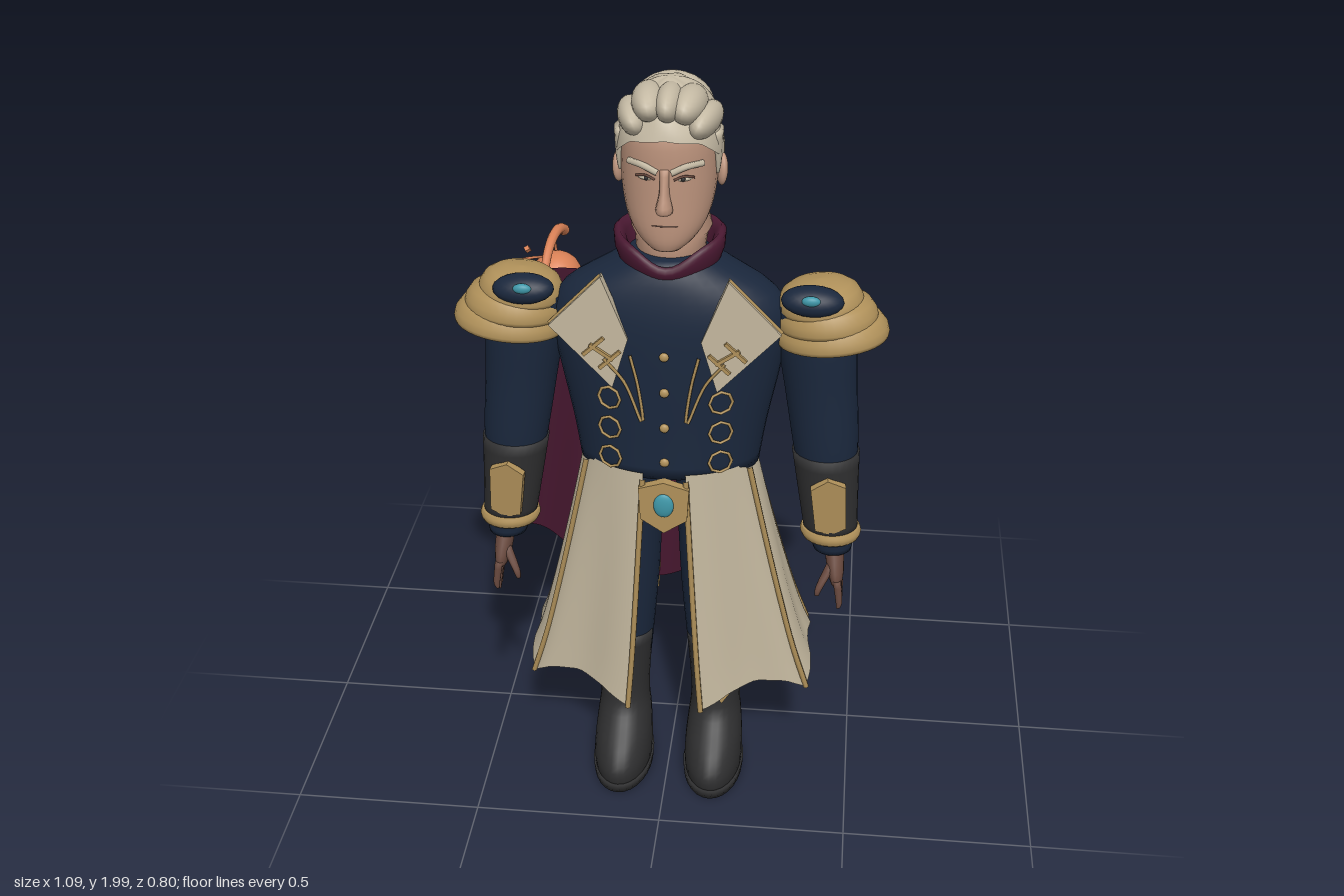
import * as THREE from 'three';
import { mergeVertices } from 'three/addons/utils/BufferGeometryUtils.js';

const mat = (name, color, double) => {
  const m = new THREE.MeshStandardMaterial({ color });
  m.name = name;
  if (double) m.side = THREE.DoubleSide;
  return m;
};
const M = {
  skin: mat('skin', 0xbd947d), hand: mat('brown hand', 0x6a4a3f), hair: mat('pale hair', 0xc6bba5),
  cream: mat('cream cloth', 0xc4b89f, true), navy: mat('navy cloth', 0x1a273c), plum: mat('plum cloth', 0x4b1932, true),
  gold: mat('gold', 0xb0915a), black: mat('black leather', 0x2e2e2f), copper: mat('copper', 0xd98156),
  teal: mat('teal gem', 0x3f97a8),
};
const lerp = THREE.MathUtils.lerp, TAU = Math.PI * 2;
const V = (x, y, z) => new THREE.Vector3(x, y, z);

// smooth surface from fn(u, v)
function grid(fn, nu, nv) {
  const pos = [], idx = [];
  for (let j = 0; j <= nv; j++) for (let i = 0; i <= nu; i++) pos.push(...fn(i / nu, j / nv));
  for (let j = 0; j < nv; j++) for (let i = 0; i < nu; i++) {
    const a = j * (nu + 1) + i, d = a + nu + 1;
    idx.push(a, a + 1, d + 1, a, d + 1, d);
  }
  let g = new THREE.BufferGeometry();
  g.setAttribute('position', new THREE.Float32BufferAttribute(pos, 3));
  g.setIndex(idx);
  g = mergeVertices(g, 1e-5);
  g.computeVertexNormals();
  return g;
}
// linear lookup in rows sorted by their first value
function sample(rows, t) {
  let i = 0;
  while (i < rows.length - 2 && t > rows[i + 1][0]) i++;
  const k = THREE.MathUtils.clamp((t - rows[i][0]) / (rows[i + 1][0] - rows[i][0]), 0, 1);
  return rows[i].map((a, c) => lerp(a, rows[i + 1][c], k));
}
// capped stack of ellipses, rows [y, cx, cz, rx, rz] from bottom to top
function loft(rows, s = 1, n = 28, steps = 3) {
  const last = rows.length - 1, R = [];
  for (let i = 0; i < last; i++) for (let k = 0; k < steps; k++) {
    const t = k / steps, q = [rows[Math.max(i - 1, 0)], rows[i], rows[i + 1], rows[Math.min(i + 2, last)]];
    R.push(rows[i].map((_, c) => {
      const [a, b, d, e] = q.map((r) => r[c]);
      return b + 0.5 * t * (d - a + t * (2 * a - 5 * b + 4 * d - e + t * (3 * (b - d) + e - a)));
    }));
  }
  R.push(rows[last]);
  const cap = (r) => [r[0], r[1], r[2], 0, 0];
  const all = [cap(R[0]), ...R, cap(R[R.length - 1])];
  return grid((u, v) => {
    const [y, cx, cz, rx, rz] = all[Math.round(v * (all.length - 1))], a = (u % 1) * TAU;
    return [s * cx + rx * Math.sin(a), y, cz + rz * Math.cos(a)];
  }, n, all.length - 1);
}
const tube = (pts, r, seg = 16) => new THREE.TubeGeometry(new THREE.CatmullRomCurve3(pts), r < 0.006 ? 24 : seg, r, 6);
function plate(pts, depth, s = 1) {
  const shape = new THREE.Shape(pts.map(([x, y]) => new THREE.Vector2(x * s, y)));
  return new THREE.ExtrudeGeometry(shape, { depth, bevelEnabled: false });
}

// coat skirt surface, a = angle from the front, v = 0 at the hem
const FRONT = 0.24, BACK = 2.96;
const HEM = [[FRONT, 0.27], [0.45, 0.31], [0.7, 0.325], [0.95, 0.31], [1.15, 0.27], [1.4, 0.34], [1.7, 0.375],
  [2.05, 0.35], [2.3, 0.38], [2.6, 0.38], [BACK, 0.33]];
function skirtPoint(a, v, out = 0) {
  const m = Math.abs(a), k = Math.pow(v, 0.85), w = (1 - v) * 0.018 * Math.cos(m * 6.9 - 1.66) + out;
  return [Math.sin(a) * (lerp(0.395, 0.225, k) + w), lerp(sample(HEM, m)[1], 1.0, v),
    lerp(0.12, 0.185, k) + Math.cos(a) * (lerp(m > 1.57 ? 0.24 : 0.225, 0.15, k) + w)];
}
// cape surface, u from its right edge to its left edge, v = 0 at the hem
function capePoint(u, v) {
  const wave = -Math.sin(u * TAU * 2.6 - 0.2) * lerp(0.025, 0.005, v);
  return [lerp(lerp(-0.48, 0.12, u), lerp(-0.33, 0.17, u), v),
    lerp(lerp(0.52, 0.38, Math.min(1, u * 1.6)), 1.415, v), lerp(-0.14, 0.02, v) + wave];
}
const chestZ = (x) => 0.185 + 0.135 * Math.sqrt(1 - (x / 0.27) ** 2) + 0.004;

export function createModel() {
  const root = new THREE.Group();
  const add = (name, geo, m, p = [0, 0, 0], rot = [0, 0, 0], sc = [1, 1, 1]) => {
    const mesh = new THREE.Mesh(geo, m);
    mesh.name = name;
    mesh.position.set(...p); mesh.rotation.set(...rot); mesh.scale.set(...sc);
    root.add(mesh);
    return mesh;
  };
  const ball = (name, m, p, r, rot) => add(name, new THREE.SphereGeometry(1, 20, 14), m, p, rot, r);

  // head, neck and face
  add('head', loft([[1.597, 0, 0.262, 0.035, 0.03], [1.62, 0, 0.24, 0.066, 0.06], [1.66, 0, 0.213, 0.095, 0.09],
    [1.72, 0, 0.188, 0.112, 0.115], [1.8, 0, 0.177, 0.118, 0.126], [1.88, 0, 0.175, 0.115, 0.125],
    [1.94, 0, 0.17, 0.085, 0.095], [1.97, 0, 0.17, 0.03, 0.03]]), M.skin);
  add('neck', loft([[1.5, 0, 0.17, 0.08, 0.08], [1.59, 0, 0.14, 0.09, 0.1], [1.605, 0, 0.13, 0.1, 0.112],
    [1.65, 0, 0.14, 0.088, 0.095], [1.75, 0, 0.15, 0.082, 0.09]], 1, 28, 1), M.skin);
  add('nose', loft([[1.7, 0, 0.305, 0.014, 0.01], [1.712, 0, 0.308, 0.021, 0.03], [1.755, 0, 0.303, 0.012, 0.022],
    [1.81, 0, 0.296, 0.012, 0.012]], 1, 12), M.skin);
  ball('mouthLine', M.hand, [0, 1.667, 0.298], [0.032, 0.0025, 0.006]);
  ball('lowerLip', M.skin, [0, 1.659, 0.29], [0.026, 0.007, 0.012]);
  for (const s of [1, -1]) {
    ball('ear', M.skin, [s * 0.124, 1.765, 0.165], [0.014, 0.04, 0.026], [-0.2, s * 0.3, 0]);
    ball('eye', M.hair, [s * 0.045, 1.785, 0.288], [0.02, 0.006, 0.009], [0, s * 0.35, 0]);
    ball('iris', M.black, [s * 0.043, 1.786, 0.295], [0.006, 0.006, 0.005]);
    add('eyelid', tube([V(s * 0.022, 1.785, 0.301), V(s * 0.045, 1.793, 0.296), V(s * 0.069, 1.787, 0.281)], 0.003), M.hand);
    add('eyebrow', tube([V(s * 0.016, 1.803, 0.304), V(s * 0.05, 1.817, 0.296), V(s * 0.088, 1.818, 0.267)], 0.008), M.hair);
    add('sideburn', loft([[1.77, 0.117, 0.2, 0.004, 0.008], [1.81, 0.118, 0.2, 0.009, 0.02], [1.88, 0.115, 0.2, 0.015, 0.035]], s, 12), M.hair);
  }

  // swept hair
  const LINE = [[0, 0.36], [0.7, 0.28], [1.2, 0], [1.7, -0.1], [2.1, -0.55], [3.15, -0.72]];
  add('hair', grid((u, v) => {
    const a = (u % 1) * TAU, m = Math.min(a, TAU - a), f = lerp(sample(LINE, m)[1], Math.PI / 2, v);
    const r = 1 + 0.03 * Math.cos(f) * Math.sin(a * 6 + f * 3) * Math.min(1, v * 4);
    return [0.131 * r * Math.cos(f) * Math.sin(a), 1.822 + 0.17 * r * Math.sin(f), 0.168 + 0.15 * r * Math.cos(f) * Math.cos(a)];
  }, 60, 20), M.hair);
  [[-0.085, 1.905, 0.035], [-0.045, 1.945, 0.042], [0.005, 1.948, 0.035], [0.05, 1.94, 0.042], [0.088, 1.9, 0.035]].forEach(([x, y, r]) =>
    ball('hairLock', M.hair, [x, y, 0.225 - Math.abs(x) * 0.25], [r, 0.045, 0.1], [-0.1, x * -1.5, -x * 5]));
  ball('hairBack', M.hair, [0, 1.895, 0.092], [0.1, 0.085, 0.072], [0.2, 0, 0]);

  // torso and raised collar
  add('coatBody', loft([[0.98, 0, 0.185, 0.232, 0.14], [1.1, 0, 0.185, 0.25, 0.137], [1.25, 0, 0.185, 0.28, 0.135],
    [1.38, 0, 0.183, 0.3, 0.133], [1.46, 0, 0.18, 0.265, 0.125], [1.52, 0, 0.178, 0.17, 0.11], [1.56, 0, 0.175, 0.1, 0.09]], 1, 40), M.navy);
  const COLLAR = [[0, 0.112, 1.5], [1, 0.122, 1.53], [2, 0.136, 1.575], [3, 0.138, 1.61], [4, 0.126, 1.622], [5, 0.108, 1.6], [6, 0.095, 1.53]];
  add('collar', grid((u, v) => {
    const a = (u % 1) * TAU, [, r, y] = sample(COLLAR, v * 6), c = Math.max(0, Math.cos(a));
    return [r * Math.sin(a), y - (0.03 * c + 0.04 * c ** 8) * Math.min(1, v * 2), 0.177 + r * 0.84 * Math.cos(a)];
  }, 48, 12), M.plum);

  // coat skirt in two halves with trimmed panels
  for (const s of [1, -1]) {
    add('coatSkirt', grid((u, v) => skirtPoint(s > 0 ? lerp(FRONT, BACK, u) : lerp(-BACK, -FRONT, u), v), 56, 14), M.cream);
    for (const a of [FRONT, 1.15, 2.05, BACK])
      add('skirtTrim', tube([0, 0.2, 0.4, 0.6, 0.8, 0.98].map((v) => V(...skirtPoint(a * s, v, 0.003))), 0.008), M.gold);
  }

  // belt buckle
  add('buckle', plate([[-0.065, 0.965], [0, 0.985], [0.065, 0.965], [0.06, 0.875], [0, 0.835], [-0.06, 0.875]], 0.025), M.gold, [0, 0, 0.325]);
  ball('buckleGem', M.teal, [0, 0.918, 0.35], [0.026, 0.034, 0.01]);

  // cape
  add('cape', grid(capePoint, 60, 14), M.plum);
  for (const u of [0, 1]) add('capeTrim', tube([0, 0.25, 0.5, 0.75, 1].map((v) => V(...capePoint(u, v))), 0.009), M.gold);

  // chest buttons
  for (const y of [1.33, 1.23, 1.13, 1.03]) ball('button', M.gold, [0, y, chestZ(0)], [0.012, 0.012, 0.008]);

  for (const s of [1, -1]) {
    // lapel, its trim and brooch
    add('lapel', plate([[0.155, 1.535], [0.285, 1.4], [0.13, 1.235], [0.09, 1.37]], 0.03, s), M.cream, [0, 0, 0.287]);
    add('lapelTrim', tube([V(s * 0.155, 1.535, 0.302), V(s * 0.22, 1.4675, 0.302), V(s * 0.285, 1.4, 0.302)], 0.0055), M.gold);
    for (const [x, y, r] of [[0.155, 1.335, 0.6], [0.135, 1.315, -0.75], [0.175, 1.35, -0.75]])
      add('brooch', new THREE.BoxGeometry(0.07, 0.009, 0.01), M.gold, [s * x, y, 0.321], [0, 0, r * s]);
    // frogging rings and chains
    for (const y of [1.2, 1.115, 1.03])
      add('chestRing', new THREE.TorusGeometry(0.03, 0.004, 6, 8), M.gold, [s * 0.14, y, chestZ(0.14)], [0, s * 0.35, 0]);
    add('chain', tube([V(s * 0.15, 1.32, 0.325), V(s * 0.1, 1.25, chestZ(0.1)), V(s * 0.055, 1.14, chestZ(0.05)),
      V(s * 0.065, 1.24, chestZ(0.06)), V(s * 0.085, 1.33, 0.32)], 0.004), M.gold);

    // arm, cuff and cuff plate
    add('sleeve', loft([[0.99, 0.405, 0.195, 0.078, 0.07], [1.05, 0.4, 0.19, 0.085, 0.077], [1.2, 0.383, 0.18, 0.093, 0.086],
      [1.35, 0.365, 0.18, 0.1, 0.09], [1.43, 0.345, 0.18, 0.08, 0.08]], s), M.navy);
    add('cuff', loft([[0.79, 0.425, 0.212, 0.07, 0.064], [0.9, 0.414, 0.203, 0.078, 0.07], [1.02, 0.403, 0.194, 0.087, 0.079]], s), M.black);
    add('cuffBand', loft([[0.775, 0.426, 0.213, 0.074, 0.067], [0.79, 0.425, 0.212, 0.08, 0.072], [0.805, 0.424, 0.211, 0.075, 0.068]], s), M.gold);
    add('wristSleeve', loft([[0.74, 0.432, 0.22, 0.05, 0.048], [0.785, 0.427, 0.214, 0.062, 0.057]], s), M.navy);
    add('cuffPlate', plate([[-0.045, 0.06], [0, 0.085], [0.045, 0.06], [0.04, -0.07], [0, -0.085], [-0.04, -0.07]], 0.02), M.gold,
      [s * 0.418, 0.895, 0.262], [0.08, s * 0.1, s * 0.08]);

    // hand
    add('palm', loft([[0.655, 0.447, 0.25, 0.016, 0.04], [0.69, 0.443, 0.243, 0.023, 0.042], [0.76, 0.435, 0.222, 0.026, 0.03]], s, 16), M.hand);
    for (let i = 0; i < 4; i++) {
      const z = 0.218 + i * 0.022, end = [0.6, 0.58, 0.575, 0.59][i];
      add('finger', loft([[end, 0.455, z + 0.004, 0.005, 0.005], [end + 0.02, 0.457, z + 0.003, 0.009, 0.009],
        [0.67, 0.449, z, 0.011, 0.011]], s, 10), M.hand);
    }
    add('thumb', loft([[0.625, 0.398, 0.285, 0.006, 0.006], [0.65, 0.404, 0.282, 0.01, 0.01], [0.71, 0.435, 0.255, 0.014, 0.014]], s, 10), M.hand);

    // layered pauldron with a gem
    const dome = new THREE.LatheGeometry([[0, 0], [0.9, -0.12], [0.98, -0.08], [1, 0.05], [0.98, 0.3], [0.88, 0.6], [0.7, 0.8], [0.4, 0.95], [0, 1]]
      .map(([x, y]) => new THREE.Vector2(x, y)), 36);
    [[0.405, 1.345, 0.143, 0.075, 0.122], [0.392, 1.385, 0.127, 0.075, 0.114], [0.375, 1.425, 0.107, 0.07, 0.1]].forEach(([x, y, rx, ry, rz]) =>
      add('pauldronLayer', dome, M.gold, [s * x, y, 0.182], [0, 0, s * 0.1], [rx, ry, rz]));
    ball('pauldronBoss', M.navy, [s * 0.355, 1.467, 0.255], [0.077, 0.034, 0.042], [0.5, 0, -s * 0.04]);
    ball('pauldronGem', M.teal, [s * 0.352, 1.48, 0.286], [0.023, 0.014, 0.012], [0.3, 0, 0]);

    // leg, boot and boot plate
    add('trouserLeg', loft([[0.35, 0.12, 0.19, 0.068, 0.068], [0.6, 0.12, 0.19, 0.09, 0.085], [0.8, 0.115, 0.185, 0.095, 0.1],
      [1.0, 0.11, 0.185, 0.1, 0.11]], s), M.navy);
    add('boot', loft([[0.02, 0.127, 0.245, 0.078, 0.15], [0.06, 0.127, 0.245, 0.08, 0.153], [0.11, 0.127, 0.227, 0.078, 0.136],
      [0.16, 0.127, 0.2, 0.073, 0.105], [0.21, 0.127, 0.19, 0.068, 0.08], [0.3, 0.127, 0.19, 0.071, 0.075],
      [0.43, 0.125, 0.19, 0.08, 0.082]], s), M.black);
    add('bootSole', loft([[0, 0.127, 0.245, 0.082, 0.155], [0.025, 0.127, 0.245, 0.084, 0.157]], s, 28, 1), M.black);
    add('bootPlate', plate([[0.1, 0.43], [0.18, 0.43], [0.19, 0.3], [0.15, 0.235], [0.11, 0.3]], 0.02, s), M.gold, [0, 0, 0.256]);
  }

  // floating orb with tapering rings and fragments
  const orb = new THREE.Group();
  orb.name = 'floatingOrb';
  orb.position.set(-0.365, 1.25, -0.285);
  const part = (name, geo, p, rot) => orb.add(add(name, geo, M.copper, p, rot));
  part('orbCore', new THREE.SphereGeometry(0.07, 24, 16));
  const arc = (R, thick, sweep) => grid((u, v) => {
    const a = -(u % 1) * TAU, b = v * sweep, r = thick * (1 - v) + 0.003, d = R + r * Math.cos(a);
    return [d * Math.cos(b), d * Math.sin(b), r * Math.sin(a)];
  }, 10, 40);
  part('orbRing', arc(0.132, 0.015, 5.2), [0, 0, 0], [0.75, Math.PI, 2.54]);
  part('orbRing', arc(0.13, 0.013, 4.7), [0, 0, 0], [0, 1.45, 0.9]);
  part('orbRing', arc(0.11, 0.012, 4.2), [0, 0, 0], [0.3, 1.75, 2.6]);
  for (const p of [[-0.1, 0.03, -0.1], [0.095, -0.06, 0.1], [0.03, 0.06, 0.115], [0.02, -0.135, -0.055]])
    part('orbFragment', new THREE.BoxGeometry(0.014, 0.014, 0.014), p, [0.6, 0.5, 0.3]);
  root.add(orb);
  return root;
}
